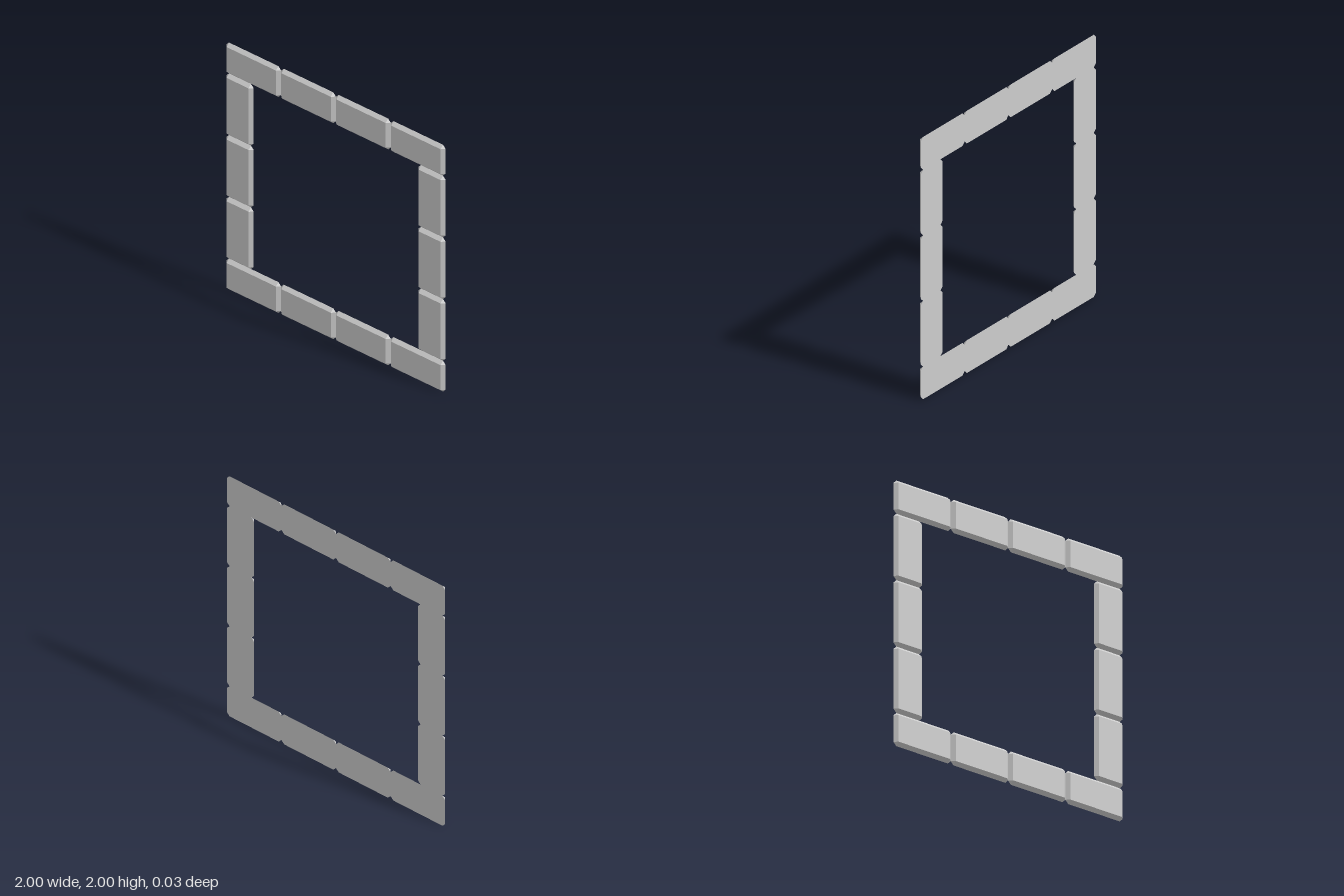
import * as THREE from 'three';
import { ConvexGeometry } from 'three/addons/geometries/ConvexGeometry.js';

const LONG = 0.5, SHORT = 0.25, DEPTH = 0.025, BEVEL = 0.025;

// Flat-backed brick: clipped-corner outline at the back, bevelled to a smaller rectangle in front
function brickGeometry(width, height) {
  const hx = width / 2, hy = height / 2, z = DEPTH / 2;
  const points = [];
  for (const sx of [-1, 1]) {
    for (const sy of [-1, 1]) {
      points.push(
        new THREE.Vector3(sx * (hx - BEVEL), sy * (hy - BEVEL), z),
        new THREE.Vector3(sx * hx, sy * (hy - BEVEL), -z),
        new THREE.Vector3(sx * (hx - BEVEL), sy * hy, -z)
      );
    }
  }
  return new ConvexGeometry(points);
}

export function createModel() {
  const group = new THREE.Group();
  group.name = 'brickFrame';
  const material = new THREE.MeshStandardMaterial({ color: 0xcccccc, flatShading: true });
  const flatBrick = brickGeometry(LONG, SHORT);
  const uprightBrick = brickGeometry(SHORT, LONG);

  function addBrick(parent, geometry, name, x, y) {
    const brick = new THREE.Mesh(geometry, material);
    brick.name = name;
    brick.position.set(x, y, 0);
    parent.add(brick);
  }

  // Top and bottom rows of four lying bricks
  for (const [name, y] of [['bottomRow', SHORT / 2], ['topRow', 2 - SHORT / 2]]) {
    const row = new THREE.Group();
    row.name = name;
    for (let i = 0; i < 4; i++) addBrick(row, flatBrick, `${name}Brick${i + 1}`, -0.75 + i * LONG, y);
    group.add(row);
  }

  // Side columns of three upright bricks
  for (const [name, side] of [['leftColumn', 1], ['rightColumn', -1]]) {
    const column = new THREE.Group();
    column.name = name;
    for (let i = 0; i < 3; i++) {
      addBrick(column, uprightBrick, `${name}Brick${i + 1}`, side * (1 - SHORT / 2), 0.5 + i * LONG);
    }
    group.add(column);
  }
  return group;
}
